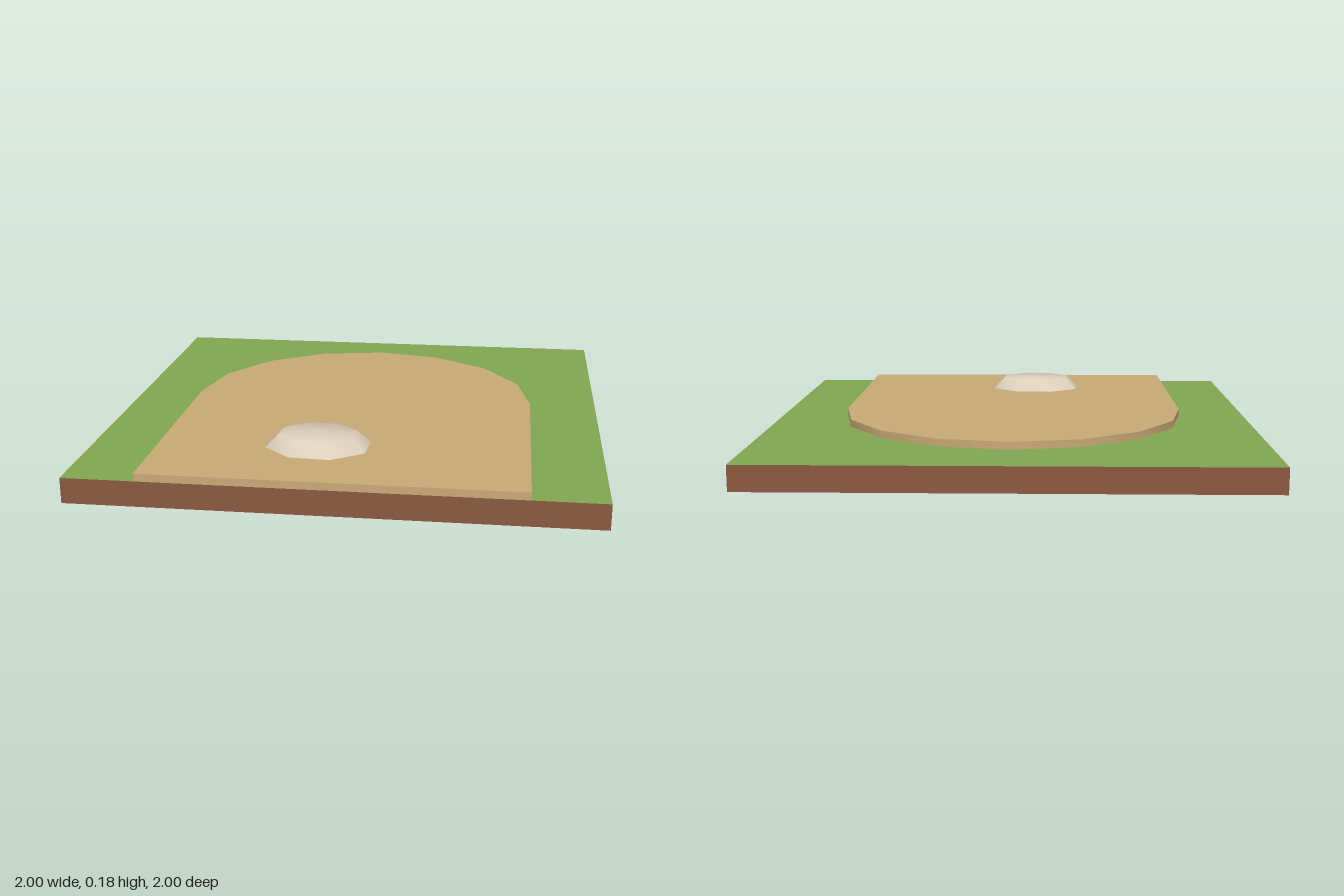
import * as THREE from 'three';
import { mergeVertices, toCreasedNormals } from 'three/addons/utils/BufferGeometryUtils.js';

const material = (name, color) =>
  new THREE.MeshStandardMaterial({ name, color, side: THREE.DoubleSide });

export function createModel() {
  const grass = material('grass green', 0x82a852);
  const soil = material('soil brown', 0x8b5a42);
  const sand = material('sand tan', 0xc9aa76);
  const stone = material('pale stone', 0xdccfbc);

  const group = new THREE.Group();
  group.name = 'pathEndTile';
  const add = (parent, name, geometry, mat) => {
    const mesh = new THREE.Mesh(geometry, mat);
    mesh.name = name;
    parent.add(mesh);
    return mesh;
  };

  // Tile: a grass sheet on four thin soil walls, open underneath
  const baseHeight = 0.1;
  add(group, 'grassTop', new THREE.PlaneGeometry(2, 2).rotateX(-Math.PI / 2), grass)
    .position.y = baseHeight;
  const walls = new THREE.Group();
  walls.name = 'soilWalls';
  group.add(walls);
  ['front', 'left', 'back', 'right'].forEach((side, i) => {
    const wall = new THREE.PlaneGeometry(2, baseHeight)
      .translate(0, baseHeight / 2, 1).rotateY(i * Math.PI / 2);
    add(walls, side + 'SoilWall', wall, soil);
  });

  // Path outline: straight sides from the front, rounded at the back
  const radius = 0.72, pathTop = 0.13, pathBottom = 0.088;
  const outline = [new THREE.Vector2(radius, -1)];
  for (let i = 0; i <= 8; i++) {
    const a = i * Math.PI / 8;
    outline.push(new THREE.Vector2(radius * Math.cos(a), radius * Math.sin(a)));
  }
  outline.push(new THREE.Vector2(-radius, -1));
  const path = new THREE.Group();
  path.name = 'path';
  group.add(path);
  add(path, 'pathTop', new THREE.ShapeGeometry(new THREE.Shape(outline)).rotateX(-Math.PI / 2), sand)
    .position.y = pathTop;

  // Path edge: a strip that dips just below the grass sheet
  const positions = [], index = [];
  outline.forEach((p, i) => {
    positions.push(p.x, pathBottom, -p.y, p.x, pathTop, -p.y);
    if (i > 0) {
      const a = 2 * (i - 1);
      index.push(a, a + 2, a + 1, a + 1, a + 2, a + 3);
    }
  });
  const edge = new THREE.BufferGeometry();
  edge.setAttribute('position', new THREE.Float32BufferAttribute(positions, 3));
  edge.setIndex(index);
  add(path, 'pathEdge', toCreasedNormals(edge, 0.6), sand);
  const lip = pathTop - baseHeight;
  add(path, 'pathFrontEdge', new THREE.PlaneGeometry(2 * radius, lip), sand)
    .position.set(0, baseHeight + lip / 2, 1);

  // Stone: a low eight-sided mound with softened shading
  const profile = [[0.21, 0], [0.155, 0.05], [0, 0.05]].map(p => new THREE.Vector2(...p));
  let mound = new THREE.LatheGeometry(profile, 8);
  mound.deleteAttribute('uv');
  mound.deleteAttribute('normal');
  mound = mergeVertices(mound, 1e-4);
  mound.rotateY(THREE.MathUtils.degToRad(19)).scale(1, 1, 0.8);
  mound.computeVertexNormals();
  add(group, 'stone', mound, stone).position.set(-0.097, pathTop, 0.615);

  return group;
}
